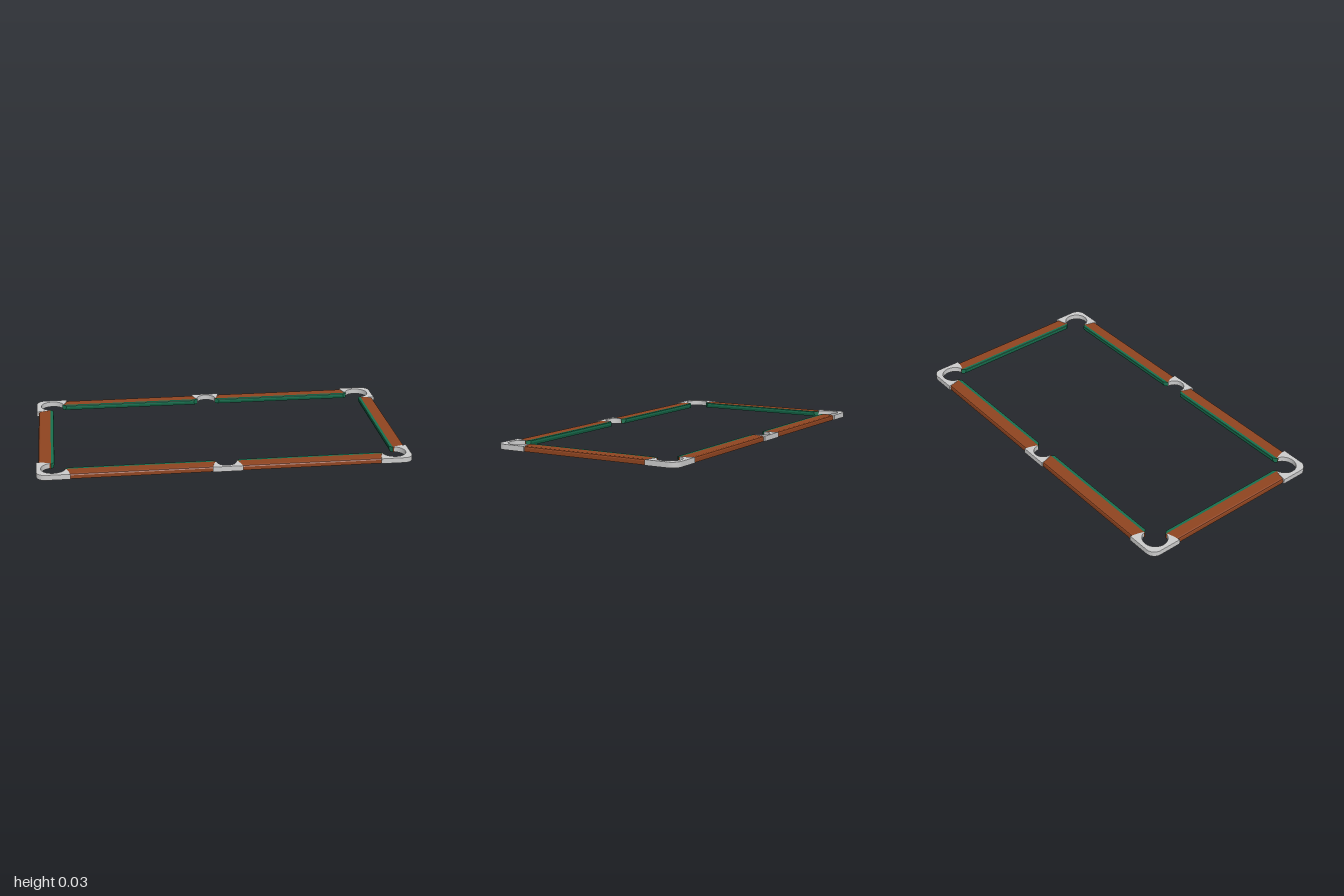
import * as THREE from 'three';

const HX = 1, HZ = 0.545, HEIGHT = 0.03;
const grey = new THREE.MeshStandardMaterial({ color: 0xcccccc });
const wood = new THREE.MeshStandardMaterial({ color: 0x8f4420 });
const cloth = new THREE.MeshStandardMaterial({ color: 0x18704f });

function mesh(name, geometry, material) {
  const m = new THREE.Mesh(geometry, material);
  m.name = name;
  return m;
}

// Plan outline (x, z) extruded upward with a fine edge bevel
function plate(shape) {
  const b = 0.0025;
  const g = new THREE.ExtrudeGeometry(shape, {
    depth: HEIGHT - 2 * b, bevelThickness: b, bevelSize: b, bevelOffset: -b,
    bevelSegments: 2, curveSegments: 32,
  });
  g.rotateX(Math.PI / 2);
  g.translate(0, HEIGHT - b, 0);
  return g;
}

// Profile (inward distance, height) swept along z, half length varying with distance
function bar(points, halfLength) {
  const shape = new THREE.Shape(points.map(([d, y]) => new THREE.Vector2(d, y)));
  const g = new THREE.ExtrudeGeometry(shape, { depth: 1, bevelEnabled: false });
  const p = g.attributes.position;
  for (let i = 0; i < p.count; i++) {
    p.setZ(i, (p.getZ(i) > 0.5 ? 1 : -1) * halfLength(p.getX(i)));
  }
  g.computeVertexNormals();
  return g;
}

// L-shaped casting around a corner pocket, origin at its outer corner
function cornerShape() {
  const s = new THREE.Shape();
  const r = 0.05, arm = 0.177;
  s.moveTo(r, 0);
  s.lineTo(arm, 0);
  s.quadraticCurveTo(0.17, 0.045, 0.157, 0.075);
  s.absarc(0.09, 0.09, 0.065, -0.22, Math.PI / 2 + 0.22, true);
  s.lineTo(0.075, 0.157);
  s.quadraticCurveTo(0.045, 0.17, 0, arm);
  s.lineTo(0, r);
  s.absarc(r, r, r, Math.PI, Math.PI * 1.5, false);
  return s;
}

// Casting around a middle pocket, origin at the centre of its outer edge
function sideShape() {
  const s = new THREE.Shape();
  s.moveTo(-0.08, 0);
  s.lineTo(0.08, 0);
  s.quadraticCurveTo(0.073, 0.045, 0.056, 0.075);
  s.absarc(0, 0.07, 0.052, 0.08, Math.PI - 0.08, true);
  s.lineTo(-0.056, 0.075);
  s.quadraticCurveTo(-0.073, 0.045, -0.08, 0);
  return s;
}

// Wooden rail with its cloth cushion; local +x points at the playing area
function rail(name, half) {
  const g = new THREE.Group();
  g.name = name;
  const back = 0.067, nose = 0.085, top = 0.028;
  g.add(mesh('woodRail', bar(
    [[0, 0], [back, 0], [back, top], [0.01, top], [0.003, 0.025], [0, 0.019]],
    (d) => half + 0.015 * d / back), wood));
  g.add(mesh('cushion', bar(
    [[back, 0], [nose - 0.006, 0], [nose, 0.015], [nose, 0.026], [nose - 0.002, top], [back, top]],
    (d) => half + 0.016 - 0.021 * (d - back) / (nose - back)), cloth));
  return g;
}

export function createModel() {
  const model = new THREE.Group();
  model.name = 'tableRailFrame';

  // Corner pockets, each a quarter turn from the next
  const cornerGeometry = plate(cornerShape());
  [[-1, -1, 0], [1, -1, -1], [1, 1, 2], [-1, 1, 1]].forEach(([sx, sz, turn]) => {
    const c = mesh('cornerPocket', cornerGeometry, grey);
    c.position.set(sx * HX, 0, sz * HZ);
    c.rotation.y = turn * Math.PI / 2;
    model.add(c);
  });

  const sideGeometry = plate(sideShape());
  for (const s of [-1, 1]) {
    // Middle pockets
    const pocket = mesh('sidePocket', sideGeometry, grey);
    pocket.position.z = s * HZ;
    pocket.rotation.y = s > 0 ? Math.PI : 0;
    model.add(pocket);

    // Two long rails on the front and back
    for (const x of [-0.4525, 0.4525]) {
      const long = rail('longRail', 0.3825);
      long.position.set(x, 0, s * (HZ - 0.009));
      long.rotation.y = s * Math.PI / 2;
      model.add(long);
    }

    // One rail on each end
    const end = rail('endRail', 0.38);
    end.position.x = s * (HX - 0.011);
    end.rotation.y = s > 0 ? Math.PI : 0;
    model.add(end);
  }
  return model;
}
